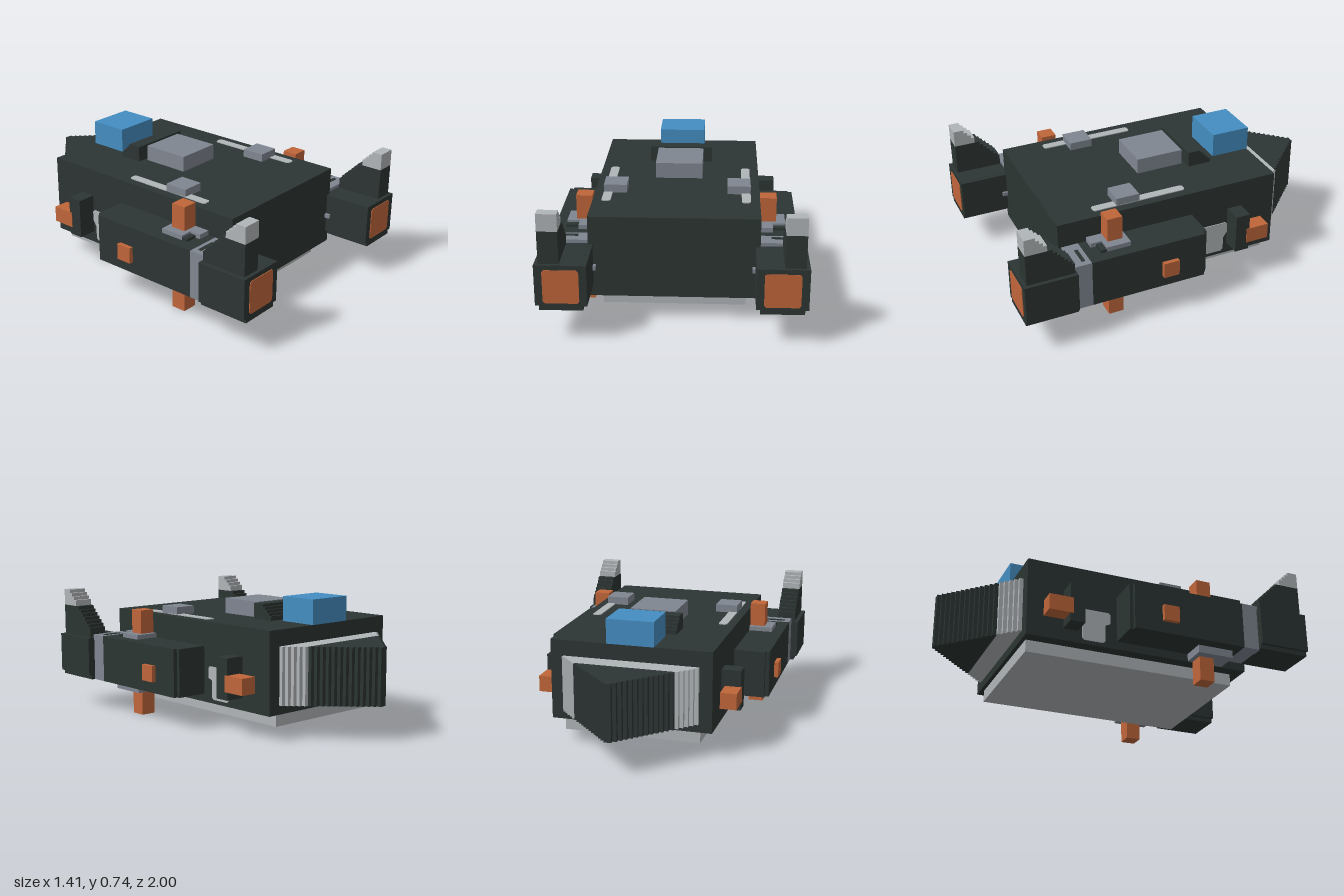
import * as THREE from 'three';

const mat = (name, color) => {
  const m = new THREE.MeshStandardMaterial({ color });
  m.name = name;
  return m;
};

export function createModel() {
  const root = new THREE.Group();
  root.name = 'gunship';
  const dark = mat('dark hull', 0x2c3533);
  const light = mat('light grey', 0xb0b5b8);
  const grey = mat('slate grey', 0x808691);
  const orange = mat('orange', 0xc0663a);
  const blue = mat('canopy blue', 0x458ec2);

  const add = (name, geo, m) => {
    const mesh = new THREE.Mesh(geo, m);
    mesh.name = name;
    root.add(mesh);
    return mesh;
  };
  // Box given by its extents
  const box = (name, m, x0, x1, y0, y1, z0, z1) => {
    const g = new THREE.BoxGeometry(x1 - x0, y1 - y0, z1 - z0);
    g.translate((x0 + x1) / 2, (y0 + y1) / 2, (z0 + z1) / 2);
    return add(name, g, m);
  };
  // The same box on both sides
  const pair = (name, m, x0, x1, ...yz) => {
    box(name + 'Left', m, x0, x1, ...yz);
    box(name + 'Right', m, -x1, -x0, ...yz);
  };
  const extrude = (pts, depth) => new THREE.ExtrudeGeometry(
    new THREE.Shape(pts.map(p => new THREE.Vector2(p[0], p[1]))), { depth, bevelEnabled: false });
  // Side profile of (z, y) points, extruded from x0 to x1
  const profile = (name, m, pts, x0, x1) =>
    add(name, extrude(pts, x1 - x0).rotateY(-Math.PI / 2).translate(x1, 0, 0), m);
  const profilePair = (name, m, pts, x0, x1) => {
    profile(name + 'Left', m, pts, x0, x1);
    profile(name + 'Right', m, pts, -x1, -x0);
  };
  // Plan outline of (x, -z) points, extruded from y0 to y1
  const plan = (name, m, pts, y0, y1) =>
    add(name, extrude(pts, y1 - y0).rotateX(-Math.PI / 2).translate(0, y0, 0), m);
  // Staircase points from (a0, b0) to (a1, b1): along a first, then b
  const stairs = (a0, b0, a1, b1, n) => {
    const pts = [[a0, b0]];
    for (let i = 1; i <= n; i++) {
      const a = a0 + (a1 - a0) * i / n;
      pts.push([a, b0 + (b1 - b0) * (i - 1) / n], [a, b0 + (b1 - b0) * i / n]);
    }
    return pts;
  };

  // Hull and belly plate
  box('hull', dark, -0.46, 0.46, 0.14, 0.6, -0.607, 0.72);
  box('bellyPlate', light, -0.39, 0.39, 0.07, 0.14, -0.585, 0.66);

  // Stepped tail wedge, light collar first and then dark
  const steps = 18, dz = 0.393 / steps, dx = 0.0215;
  const wedge = (name, m, from, to) => {
    const right = [];
    for (let i = from; i < to; i++) {
      const w = (steps - i) * dx, z = 0.607 + i * dz;
      right.push([w, z], [w, z + dz]);
    }
    const left = right.map(([x, z]) => [-x, z]).reverse();
    plan(name, m, [...right, ...left], 0.19, 0.51);
  };
  wedge('tailCollar', light, 0, 5);
  wedge('tailWedge', dark, 5, steps);

  // Deck: canopy, stepped fairing, hatch, side blocks and strips
  box('canopy', blue, -0.135, 0.135, 0.6, 0.74, -0.61, -0.38);
  profile('deckFairing', dark,
    [[-0.335, 0.6], [-0.195, 0.6], [-0.195, 0.69], ...stairs(-0.255, 0.69, -0.335, 0.61, 5)], -0.185, 0.185);
  box('deckHatch', grey, -0.135, 0.135, 0.6, 0.69, -0.175, 0.105);
  pair('deckBlock', grey, 0.28, 0.41, 0.6, 0.646, 0.22, 0.355);
  for (const s of [1, -1]) {
    const outline = [[0.37, -0.49], [0.4, -0.49], [0.41, -0.48], [0.41, 0.05], [0.4, 0.06],
      [0.37, 0.06], [0.36, 0.05], [0.36, -0.48]].map(([x, z]) => [s * x, z]);
    plan(s > 0 ? 'deckStripLeft' : 'deckStripRight', light, outline, 0.598, 0.605);
  }

  // Side pods with a grey collar and slot
  pair('pod', dark, 0.46, 0.665, 0.187, 0.46, -0.06, 0.607);
  pair('podEndCap', dark, 0.46, 0.642, 0.187, 0.46, -0.08, -0.06);
  pair('podCollar', grey, 0.455, 0.665, 0.187, 0.46, 0.607, 0.705);
  pair('podSlot', dark, 0.52, 0.63, 0.459, 0.464, 0.633, 0.652);

  // Gun housings with orange muzzle plates
  pair('gunHousing', dark, 0.435, 0.707, 0.212, 0.44, 0.7, 0.996);
  pair('gunHousingCore', dark, 0.457, 0.687, 0.187, 0.441, 0.7, 0.995);
  const muzzle = [[0.486, 0.228], [0.654, 0.228], [0.665, 0.239], [0.665, 0.404],
    [0.654, 0.415], [0.486, 0.415], [0.475, 0.404], [0.475, 0.239]];
  for (const s of [1, -1]) {
    add(s > 0 ? 'muzzlePlateLeft' : 'muzzlePlateRight',
      extrude(muzzle.map(([x, y]) => [s * x, y]), 0.006).translate(0, 0, 0.994), orange);
  }
  pair('gunLink', grey, 0.42, 0.436, 0.302, 0.325, 0.715, 0.75);

  // Stepped fins with light tips
  profilePair('fin', dark,
    [[0.71, 0.43], [0.977, 0.43], [0.977, 0.62], ...stairs(0.845, 0.62, 0.725, 0.5, 6), [0.71, 0.5]], 0.577, 0.685);
  profilePair('finTip', light,
    [[0.855, 0.62], [0.977, 0.62], [0.977, 0.715], ...stairs(0.937, 0.715, 0.855, 0.635, 4)], 0.577, 0.685);

  // Vertical thrusters on grey mounts
  pair('upperMount', grey, 0.46, 0.6, 0.455, 0.486, 0.355, 0.495);
  pair('upperMountTail', grey, 0.46, 0.53, 0.455, 0.486, 0.495, 0.56);
  pair('upperMountVent', dark, 0.53, 0.6, 0.455, 0.475, 0.495, 0.53);
  pair('lowerMount', grey, 0.455, 0.597, 0.142, 0.19, 0.355, 0.567);
  pair('upperThruster', orange, 0.46, 0.55, 0.48, 0.624, 0.383, 0.47);
  pair('lowerThruster', orange, 0.46, 0.55, 0, 0.145, 0.383, 0.47);

  // Side and rear thrusters
  pair('sideThruster', orange, 0.66, 0.69, 0.255, 0.347, 0.105, 0.197);
  pair('rearThrusterMount', dark, 0.455, 0.57, 0.21, 0.44, -0.396, -0.31);
  pair('rearThruster', orange, 0.48, 0.573, 0.255, 0.347, -0.517, -0.378);

  // T-shaped side panels
  profilePair('sidePanel', light,
    [[-0.15, 0.175], [-0.15, 0.27], [-0.12, 0.285], [-0.12, 0.34], [-0.13, 0.35], [-0.3, 0.35],
      [-0.31, 0.34], [-0.31, 0.285], [-0.287, 0.25], [-0.287, 0.175], [-0.275, 0.163], [-0.162, 0.163]], 0.457, 0.465);

  return root;
}
